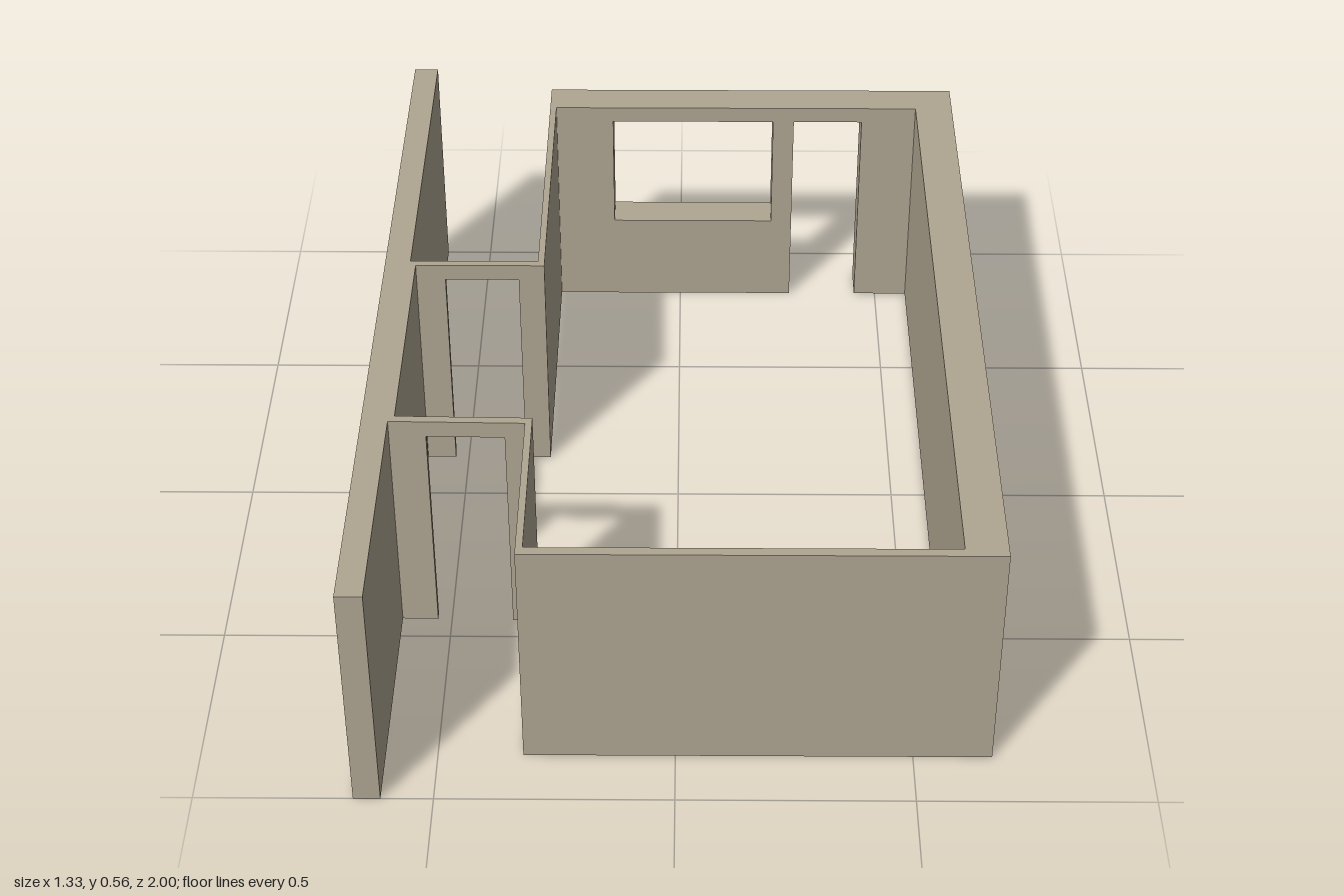
import * as THREE from 'three';

const H = 0.555;      // wall height
const HEAD = 0.516;   // top of doors and windows

export function createModel() {
  const group = new THREE.Group();
  const plaster = new THREE.MeshStandardMaterial({ color: 0xb0a692 });
  plaster.name = 'plaster';

  function add(name, geometry) {
    const mesh = new THREE.Mesh(geometry, plaster);
    mesh.name = name;
    group.add(mesh);
    return mesh;
  }

  // Solid wall filling a plan rectangle
  function solidWall(name, x0, x1, z0, z1) {
    const geometry = new THREE.BoxGeometry(x1 - x0, H, z1 - z0);
    geometry.translate((x0 + x1) / 2, H / 2, (z0 + z1) / 2);
    return add(name, geometry);
  }

  // Wall along x with one door notch and an optional window hole
  function openWall(name, x0, x1, z0, z1, door, window) {
    const shape = new THREE.Shape([
      [x0, 0], [door[0], 0], [door[0], HEAD], [door[1], HEAD],
      [door[1], 0], [x1, 0], [x1, H], [x0, H],
    ].map(([x, y]) => new THREE.Vector2(x, y)));
    if (window) {
      const [a, b, sill] = window;
      shape.holes.push(new THREE.Path([
        [a, sill], [a, HEAD], [b, HEAD], [b, sill],
      ].map(([x, y]) => new THREE.Vector2(x, y))));
    }
    const geometry = new THREE.ExtrudeGeometry(shape, { depth: z1 - z0, bevelEnabled: false });
    geometry.translate(0, 0, z0);
    return add(name, geometry);
  }

  // Long party wall and its thicker stretch inside the hall
  solidWall('partyWall', -0.667, -0.61, -1, 1);
  solidWall('hallLining', -0.61, -0.597, -0.137, 0.422);

  // Main room
  solidWall('sideWall', 0.578, 0.667, -0.905, 0.87);
  solidWall('frontWall', -0.305, 0.578, 0.848, 0.87);
  solidWall('innerWallFront', -0.32, -0.305, 0.427, 0.87);
  solidWall('innerWallBack', -0.32, -0.305, -0.82, -0.137);
  openWall('backWall', -0.32, 0.578, -0.905, -0.82, [0.28, 0.447], [-0.166, 0.229, 0.223]);

  // Hall end walls with matching doors; the front one runs slightly askew
  const door = [-0.531, -0.364];
  openWall('hallBackWall', -0.61, -0.32, -0.155, -0.137, door);
  const front = openWall('hallFrontWall', -0.61, -0.32, 0.422, 0.441, door);
  const position = front.geometry.attributes.position;
  for (let i = 0; i < position.count; i++) {
    position.setZ(i, position.getZ(i) + (position.getX(i) + 0.61) * 0.016);
  }
  front.geometry.computeVertexNormals();

  return group;
}
